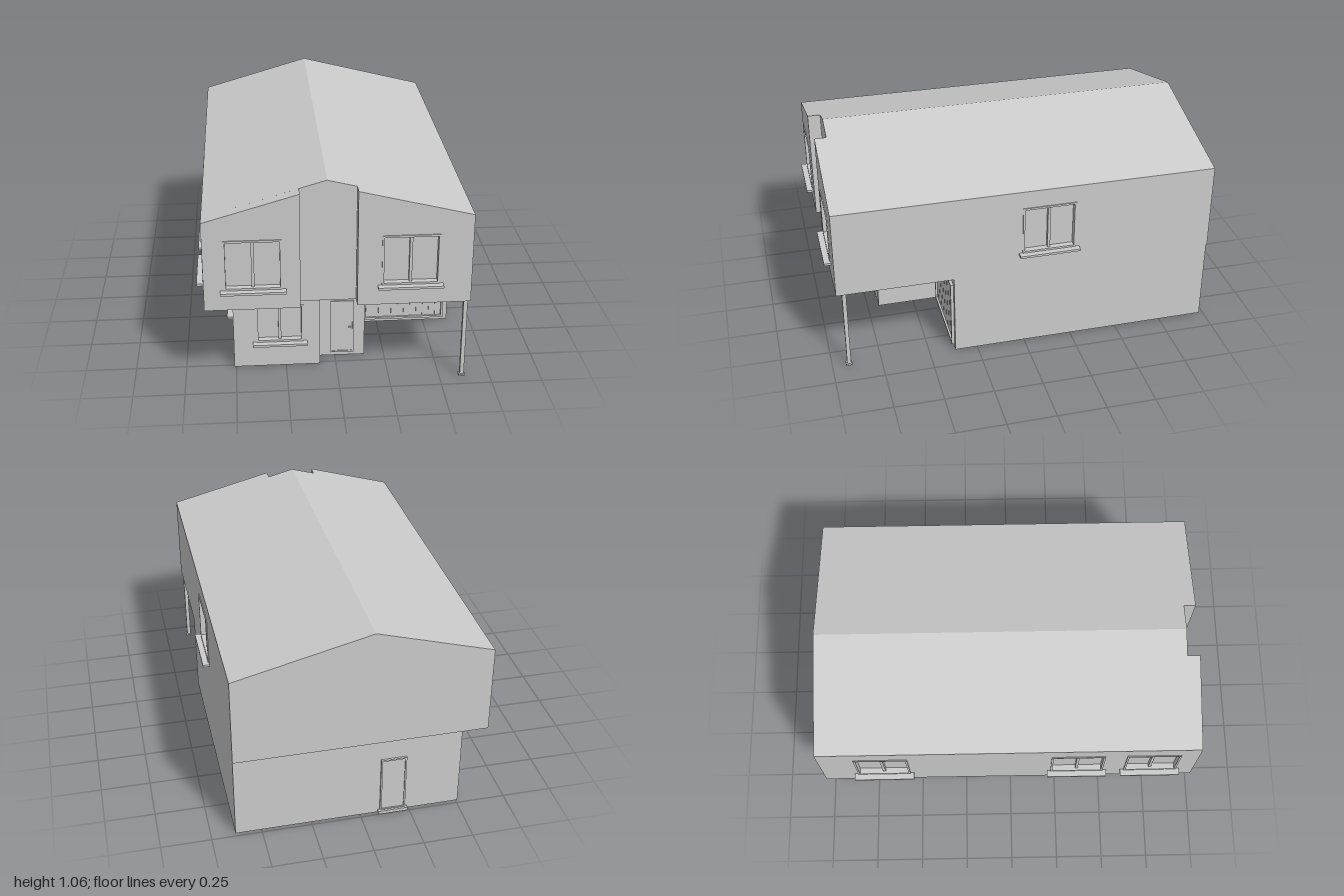
import * as THREE from 'three';

const MAT = new THREE.MeshStandardMaterial({ color: 0xcccccc, flatShading: true, side: THREE.DoubleSide });
const RECESS = 0.03;

function mesh(name, geometry) {
  const m = new THREE.Mesh(geometry, MAT);
  m.name = name;
  return m;
}

// Box given by its minimum and maximum corners
function box(name, x0, x1, y0, y1, z0, z1) {
  const m = mesh(name, new THREE.BoxGeometry(x1 - x0, y1 - y0, z1 - z0));
  m.position.set((x0 + x1) / 2, (y0 + y1) / 2, (z0 + z1) / 2);
  return m;
}

const outline = (pts) => new THREE.Shape(pts.map(([x, y]) => new THREE.Vector2(x, y)));
const rect = (x0, x1, y0, y1) => [[x0, y0], [x1, y0], [x1, y1], [x0, y1]];

function prism(name, shape, z0, z1) {
  const g = new THREE.ExtrudeGeometry(shape, { depth: z1 - z0, bevelEnabled: false });
  return mesh(name, g.translate(0, 0, z0));
}

// Bars round the edge of an opening
function surround(name, x0, x1, y0, y1, t, z0, z1) {
  const s = outline(rect(x0, x1, y0, y1));
  s.holes.push(outline(rect(x0 + t, x1 - t, y0 + t, y1 - t)));
  return prism(name, s, z0, z1);
}

// Two-light window with a projecting sill, facing local +z
function makeWindow({ u, y0, y1, w = 0.275 }) {
  const g = new THREE.Group();
  g.name = 'window';
  const a = u - w / 2, b = u + w / 2, t = 0.01;
  g.add(
    surround('windowFrame', a, b, y0, y1, t, -RECESS, 0.005),
    box('windowMullion', u - 0.007, u + 0.007, y0 + t, y1 - t, -RECESS, -0.008),
    box('windowPane', a, b, y0, y1, -RECESS - 0.004, -RECESS + 0.004),
    box('windowSill', a - 0.018, b + 0.018, y0 - 0.012, y0, -RECESS, 0.035),
  );
  return g;
}

// Wall slab with window openings; its outer face lies on local z = 0
function makeWall(name, pts, windows, depth, x, z, turn = 0) {
  const g = new THREE.Group();
  g.name = name;
  const s = outline(pts);
  for (const win of windows) {
    const w = win.w ?? 0.275;
    s.holes.push(outline(rect(win.u - w / 2, win.u + w / 2, win.y0, win.y1)));
    g.add(makeWindow(win));
  }
  g.add(prism(name + 'Slab', s, -depth, 0));
  g.position.set(x, 0, z);
  g.rotation.y = turn;
  return g;
}

export function createModel() {
  const house = new THREE.Group();
  house.name = 'house';

  const L = -0.64, R = 0.63, MID = 0.435, EAVE = 0.89, BACK = -0.985, T = RECESS;
  const upper = (u) => ({ u, y0: 0.54, y1: 0.797 });
  const lower = (u) => ({ u, y0: 0.11, y1: 0.38 });

  // Upper storey core with the gable roof
  house.add(prism('upperStoreyAndRoof', outline([
    [L + T, MID], [R - T, MID], [R - T, EAVE], [R, EAVE], [-0.055, 1.06], [L, EAVE], [L + T, EAVE],
  ]), BACK, 0.895));

  // Upper side walls
  house.add(
    makeWall('upperLeftHandWall', rect(BACK, 0.895, MID, EAVE),
      [-0.665, 0.345, 0.73].map(upper), T, L, 0, -Math.PI / 2),
    makeWall('upperRightHandWall', rect(-0.895, -BACK, MID, EAVE),
      [upper(0.125)], T, R, 0, Math.PI / 2),
  );

  // Two front bays either side of the central recess
  house.add(
    makeWall('frontBayA', [[L, MID], [-0.185, MID], [-0.185, 1.022], [L, EAVE]],
      [upper(-0.407)], 0.065, 0, 0.96),
    makeWall('frontBayB', [[0.085, MID], [R, MID], [R, EAVE], [0.085, 1.025]],
      [upper(0.337)], 0.06, 0, 0.955),
  );

  // Stepped ground floor
  house.add(
    box('groundFloorMain', -0.48, R, 0, MID, -0.98, 0.365),
    box('groundFloorFront', -0.48, -0.08, 0, MID, 0.365, 0.735),
    box('entrance', -0.08, 0.15, 0, MID, 0.365, 0.69),
    makeWall('groundSideWall', rect(-0.98, 0.765, 0, MID),
      [-0.105, 0.3].map(lower), T, -0.51, 0, -Math.PI / 2),
    makeWall('groundFrontWall', rect(-0.48, -0.08, 0, MID),
      [{ u: -0.28, y0: 0.138, y1: 0.343, w: 0.235 }], T, 0, 0.765),
  );

  // Front door
  house.add(
    box('frontDoor', -0.015, 0.09, 0.025, 0.31, 0.685, 0.693),
    surround('frontDoorFrame', -0.022, 0.096, 0.02, 0.315, 0.008, 0.685, 0.697),
    box('frontDoorHandle', 0.07, 0.082, 0.163, 0.168, 0.69, 0.7),
  );

  // Garage door with upright boards
  const garage = new THREE.Group();
  garage.name = 'garageDoor';
  garage.add(surround('garageFrame', 0.18, 0.607, 0.02, 0.387, 0.011, 0.36, 0.38));
  const boards = 12, g0 = 0.191, step = (0.596 - g0) / boards;
  for (let i = 0; i < boards; i++) {
    const x = g0 + i * step;
    garage.add(box('garageBoard', x + 0.0015, x + step - 0.0015, 0.031, 0.375, 0.36, 0.37));
  }
  house.add(garage);

  // Corner post under the overhang
  house.add(
    box('cornerPost', 0.603, 0.623, 0, MID, 0.905, 0.925),
    box('postFoot', 0.597, 0.629, 0, 0.008, 0.899, 0.931),
  );

  // Back door and its step
  house.add(
    box('backDoor', -0.222, -0.108, 0.02, 0.32, -0.984, -0.97),
    surround('backDoorFrame', -0.23, -0.1, 0.015, 0.328, 0.008, -0.99, -0.97),
    box('backDoorStep', -0.24, -0.09, 0, 0.018, -1, -0.97),
  );

  return house;
}
